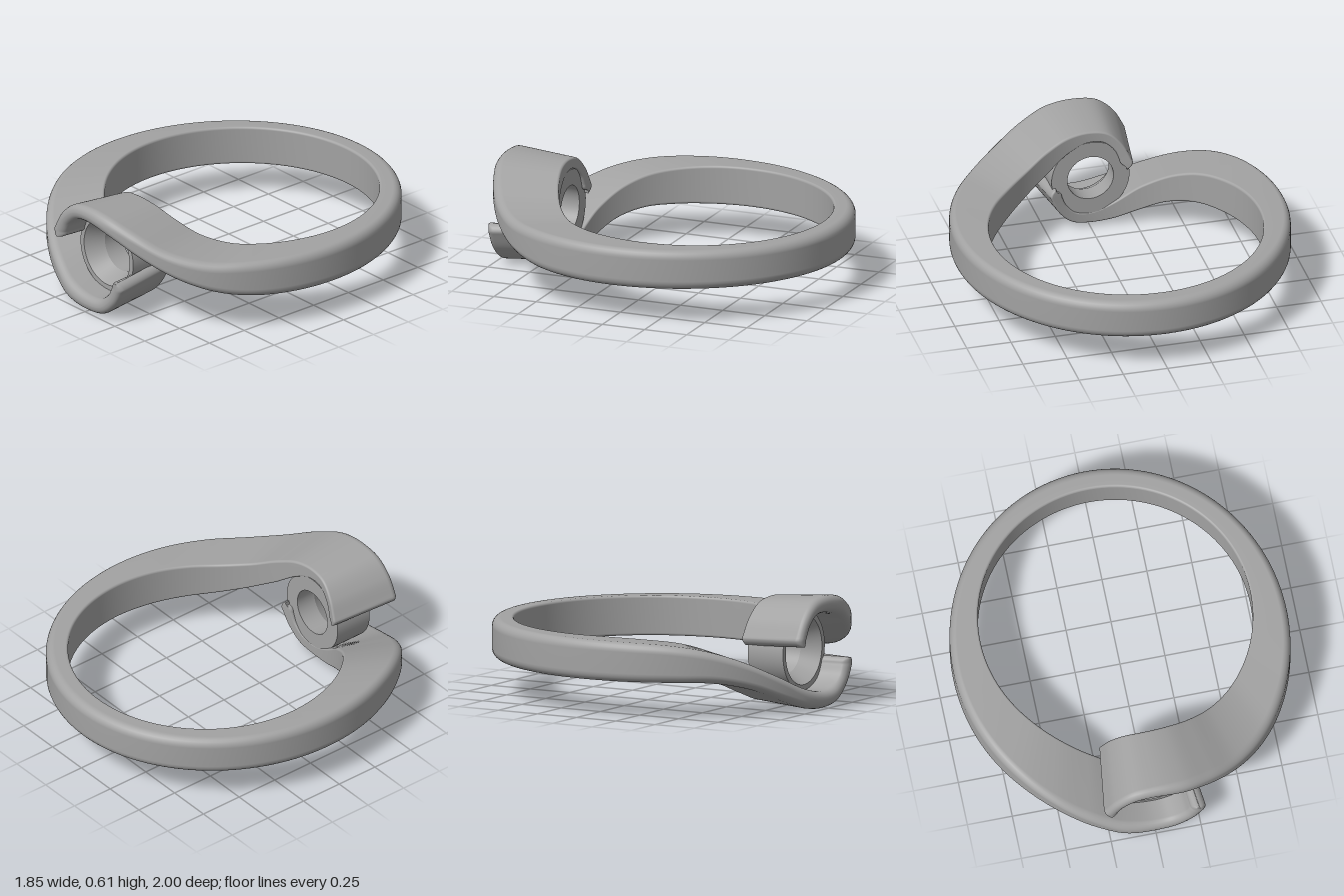
import * as THREE from 'three';

const MID = 0.31;               // height of the band's centre
const RAD = Math.PI / 180;
const smooth = THREE.MathUtils.smoothstep;
const lerp = THREE.MathUtils.lerp;

// Stations of one half of the band, from the back to the arm's tip:
// [angle of top edge, its height, angle of bottom edge, its height], 0 degrees = front
const STATIONS = [
  [180, 0.42, 180, 0.2], [150, 0.42, 150, 0.2], [120, 0.42, 120, 0.2],
  [95, 0.42, 95, 0.2], [75, 0.42, 75, 0.203], [58, 0.42, 60, 0.216],
  [45, 0.427, 48, 0.25], [32, 0.472, 36, 0.315], [20, 0.55, 23, 0.408],
  [10, 0.606, 11, 0.492], [0, 0.62, 0, 0.527], [-8, 0.597, -6, 0.515],
  [-14, 0.517, -10.5, 0.46], [-18, 0.41, -12.5, 0.4],
];

// Outer and inner wall of the band at an angle and height
function outerPoint(deg, y) {
  const a = deg * RAD;
  const flat = 1 - smooth(deg, -2, 18);   // the front of the arm runs on straight to its tip
  return new THREE.Vector3(0.927 * Math.sin(a), y, lerp(Math.cos(a), 0.995, flat));
}
function innerPoint(deg, y) {
  const a = deg * RAD;
  return new THREE.Vector3(0.75 * Math.sin(a), y, -0.13 + 0.75 * Math.cos(a));
}

// Rounded four-sided section, starting at the top outer corner
function section([topA, topY, botA, botY]) {
  const dropTop = 0.027 * (1 - smooth(Math.abs(topA), 5, 50));
  const dropBottom = 0.045 * smooth(botA, 0, 22) * (1 - smooth(botA, 24, 65));
  const to = outerPoint(topA, topY), ti = innerPoint(topA, topY - dropTop);
  const bo = outerPoint(botA, botY), bi = innerPoint(botA, botY - dropBottom);
  const h = Math.max(to.distanceTo(bo), 1e-4), d = to.distanceTo(ti);
  const ro = Math.min(0.05, h * 0.47), ri = Math.min(0.014, h * 0.3);
  const corners = [[0, 1, ro, 0], [1, 1, ri, 90], [1, 0, ri, 180], [0, 0, ro, 270]];
  const ring = [];
  for (const [u, v, r, start] of corners) {
    const n = 6;
    for (let k = 0; k <= n; k++) {
      const a = (start + 90 * k / n) * RAD;
      const p = (u ? d - r : r) - r * Math.cos(a);   // depth from outside
      const q = (v ? h - r : r) + r * Math.sin(a);   // height from bottom edge
      const bottom = bo.clone().lerp(bi, p / d);
      ring.push(bottom.lerp(to.clone().lerp(ti, p / d), q / h));
    }
  }
  return ring;
}

function bandGeometry() {
  const curve = (i) => new THREE.CatmullRomCurve3(
    STATIONS.map((s) => new THREE.Vector3(s[i] / 60, s[i + 1], 0)));
  const top = curve(0), bottom = curve(2);
  const half = [];
  const STEPS = 130;
  for (let i = 0; i <= STEPS; i++) {
    const t = top.getPoint(i / STEPS), b = bottom.getPoint(i / STEPS);
    half.push(section([t.x * 60, t.y, b.x * 60, b.y]));
  }
  // rounded end of the arm
  const [ta, ty, ba, by] = STATIONS[STATIONS.length - 1];
  const ma = (ta + ba) / 2, my = (ty + by) / 2;
  for (let k = 1; k <= 8; k++) {
    const a = k / 8 * 88 * RAD, c = Math.cos(a), s = 0.037 * Math.sin(a);
    half.push(section([lerp(ma, ta, c), lerp(my, ty, c) - s, lerp(ma, ba, c), lerp(my, by, c) - s]));
  }
  // the other half is the same, turned half way round the front axis
  const turned = half.slice(1).reverse().map((ring) =>
    ring.map((p) => new THREE.Vector3(-p.x, 2 * MID - p.y, p.z)).reverse());
  const rings = [...turned, ...half];
  const n = rings[0].length, last = (rings.length - 1) * n;
  const index = [];
  for (let i = 0; i < rings.length - 1; i++) {
    for (let j = 0; j < n; j++) {
      const a = i * n + j, b = i * n + (j + 1) % n;
      index.push(a, b, b + n, a, b + n, a + n);
    }
  }
  for (let j = 1; j < n - 1; j++) index.push(0, j + 1, j, last, last + j, last + j + 1);
  const geo = new THREE.BufferGeometry().setFromPoints(rings.flat());
  geo.setIndex(index);
  geo.computeVertexNormals();
  return geo;
}

// Straight or conical wall between two [radius, z] points, turned about the z axis
function wall(from, to, material) {
  const geo = new THREE.LatheGeometry([from, to].map(([r, z]) => new THREE.Vector2(r, z)), 64);
  geo.rotateX(Math.PI / 2);
  return new THREE.Mesh(geo, material);
}

export function createModel() {
  const group = new THREE.Group();
  const material = new THREE.MeshStandardMaterial({ color: 0xa2a2a2 });
  const thin = new THREE.MeshStandardMaterial({ color: 0xa2a2a2, side: THREE.DoubleSide });

  const band = new THREE.Mesh(bandGeometry(), material);
  band.name = 'bypassBand';
  group.add(band);

  // Collar that holds the stone: back, outer wall, rim, conical seat and bore
  const collar = new THREE.Group();
  collar.name = 'stoneCollar';
  const profile = [[0.13, 0.619], [0.22, 0.619], [0.22, 0.843], [0.19, 0.843],
    [0.135, 0.74], [0.13, 0.619]];
  for (let i = 0; i < profile.length - 1; i++) {
    const part = wall(profile[i], profile[i + 1], thin);
    part.name = 'collarWall' + (i + 1);
    collar.add(part);
  }
  collar.position.y = MID;
  group.add(collar);
  return group;
}
